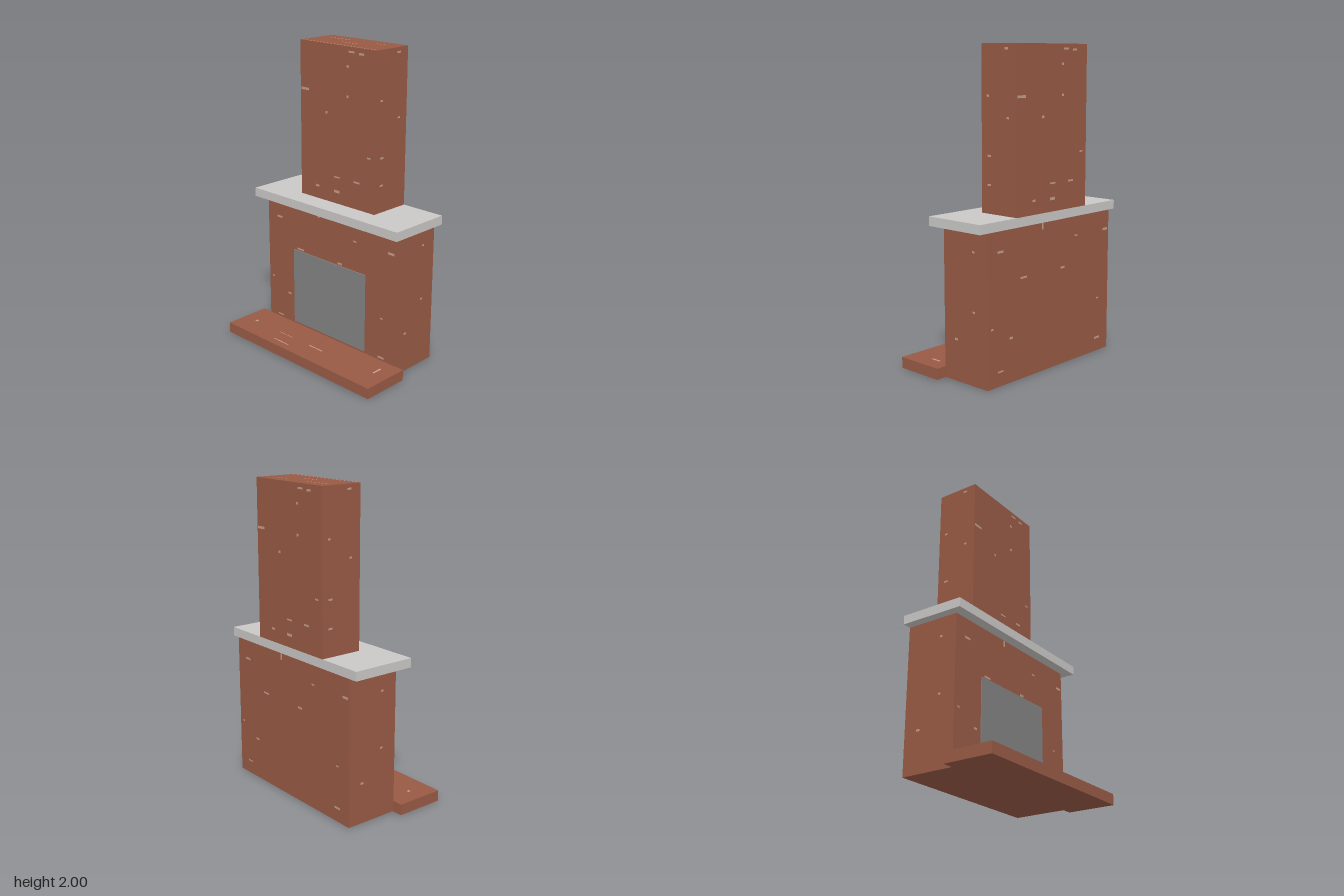
import * as THREE from 'three';

const brick = new THREE.MeshStandardMaterial({ name: 'brick red', color: 0x985a45 });
const mortar = new THREE.MeshStandardMaterial({ name: 'mortar', color: 0xc49c86 });
const stone = new THREE.MeshStandardMaterial({ name: 'pale stone', color: 0xc9c8c6 });
const iron = new THREE.MeshStandardMaterial({ name: 'grey screen', color: 0x828282 });

// Box given by its limits on each axis
function block(name, material, [x0, x1], [y0, y1], [z0, z1]) {
  const mesh = new THREE.Mesh(new THREE.BoxGeometry(x1 - x0, y1 - y0, z1 - z0), material);
  mesh.position.set((x0 + x1) / 2, (y0 + y1) / 2, (z0 + z1) / 2);
  mesh.name = name;
  return mesh;
}

export function createModel() {
  const model = new THREE.Group();
  model.name = 'fireplace';
  const back = -0.338, bodyFront = 0.02, flueFront = -0.054;

  // Masonry, shelf and screen
  model.add(
    block('hearth', brick, [-0.641, 0.641], [0, 0.07], [0.016, 0.338]),
    block('fireplaceBody', brick, [-0.569, 0.569], [0, 0.932], [back, bodyFront]),
    block('mantelShelf', stone, [-0.626, 0.626], [0.932, 0.99], [back, 0.087]),
    block('chimney', brick, [-0.32, 0.32], [0.99, 2], [back, flueFront]),
    block('fireScreen', iron, [-0.321, 0.321], [0.085, 0.612], [bodyFront, 0.026])
  );

  // Exposed mortar flecks: [across, up, width, height]
  const flueFlecks = [
    [-0.28, 1.695, 0.07, 0.016], [0.12, 1.97, 0.05, 0.012], [0.2, 1.965, 0.04, 0.014],
    [0, 1.07, 0.05, 0.018], [0, 1.165, 0.05, 0.01], [0.17, 1.165, 0.05, 0.012],
    [0.27, 1.34, 0.03, 0.01], [0.09, 1.695, 0.02, 0.016], [-0.09, 1.57, 0.02, 0.016],
    [0.09, 1.88, 0.02, 0.014], [-0.17, 1.075, 0.03, 0.014]
  ];
  const bodyFlecks = [
    [-0.46, 0.81, 0.05, 0.014], [-0.09, 0.91, 0.015, 0.04], [0.53, 0.81, 0.05, 0.016],
    [-0.26, 0.625, 0.06, 0.012], [0.1, 0.625, 0.04, 0.014], [0.23, 0.81, 0.03, 0.01],
    [-0.37, 0.275, 0.03, 0.014], [0.46, 0.09, 0.05, 0.014], [-0.46, 0.09, 0.05, 0.01],
    [0.46, 0.36, 0.02, 0.01], [-0.53, 0.36, 0.02, 0.012]
  ];
  const sideFlecks = [
    [-0.08, 0.26, 0.025, 0.014], [0.07, 0.45, 0.02, 0.012], [0.07, 0.81, 0.02, 0.012],
    [-0.08, 1.34, 0.03, 0.012], [-0.08, 1.165, 0.03, 0.012], [0.06, 1.97, 0.03, 0.012],
    [0.07, 1.57, 0.02, 0.012], [-0.09, 1.695, 0.02, 0.012]
  ];
  const flecks = new THREE.Group();
  flecks.name = 'mortarFlecks';
  function addFlecks(list, angle, distance, offset = 0) {
    const wall = new THREE.Group();
    wall.name = 'wallMortar';
    wall.rotation.y = angle;
    for (const [u, y, w, h] of list) {
      const plate = new THREE.Mesh(new THREE.PlaneGeometry(w, h), mortar);
      plate.name = 'mortarFleck';
      plate.position.set(u + offset, y, distance + 0.001);
      wall.add(plate);
    }
    flecks.add(wall);
  }
  addFlecks(flueFlecks, 0, flueFront);
  addFlecks(bodyFlecks, 0, bodyFront);
  addFlecks([...flueFlecks, ...bodyFlecks], Math.PI, -back);
  for (const s of [1, -1]) {
    addFlecks(sideFlecks.filter(f => f[1] < 1), s * Math.PI / 2, 0.569, s * 0.159);
    addFlecks(sideFlecks.filter(f => f[1] > 1), s * Math.PI / 2, 0.32, s * 0.196);
  }
  model.add(flecks);

  // Mortar lines on the flat tops: [x, z, length, width, height of surface]
  const topLines = [
    [-0.17, -0.253, 0.2, 0.005, 2], [0.18, -0.253, 0.1, 0.005, 2], [0, -0.163, 0.14, 0.006, 2],
    [0, -0.07, 0.6, 0.005, 2], [-0.18, 0.283, 0.14, 0.008, 0.07], [0.05, 0.192, 0.12, 0.009, 0.07],
    [-0.23, 0.192, 0.12, 0.004, 0.07], [0.535, 0.14, 0.014, 0.07, 0.07], [-0.53, 0.185, 0.02, 0.02, 0.07]
  ];
  for (const [x, z, w, d, y] of topLines) {
    const line = new THREE.Mesh(new THREE.PlaneGeometry(w, d), mortar);
    line.name = 'topMortar';
    line.rotation.x = -Math.PI / 2;
    line.position.set(x, y + 0.0005, z);
    flecks.add(line);
  }
  return model;
}
